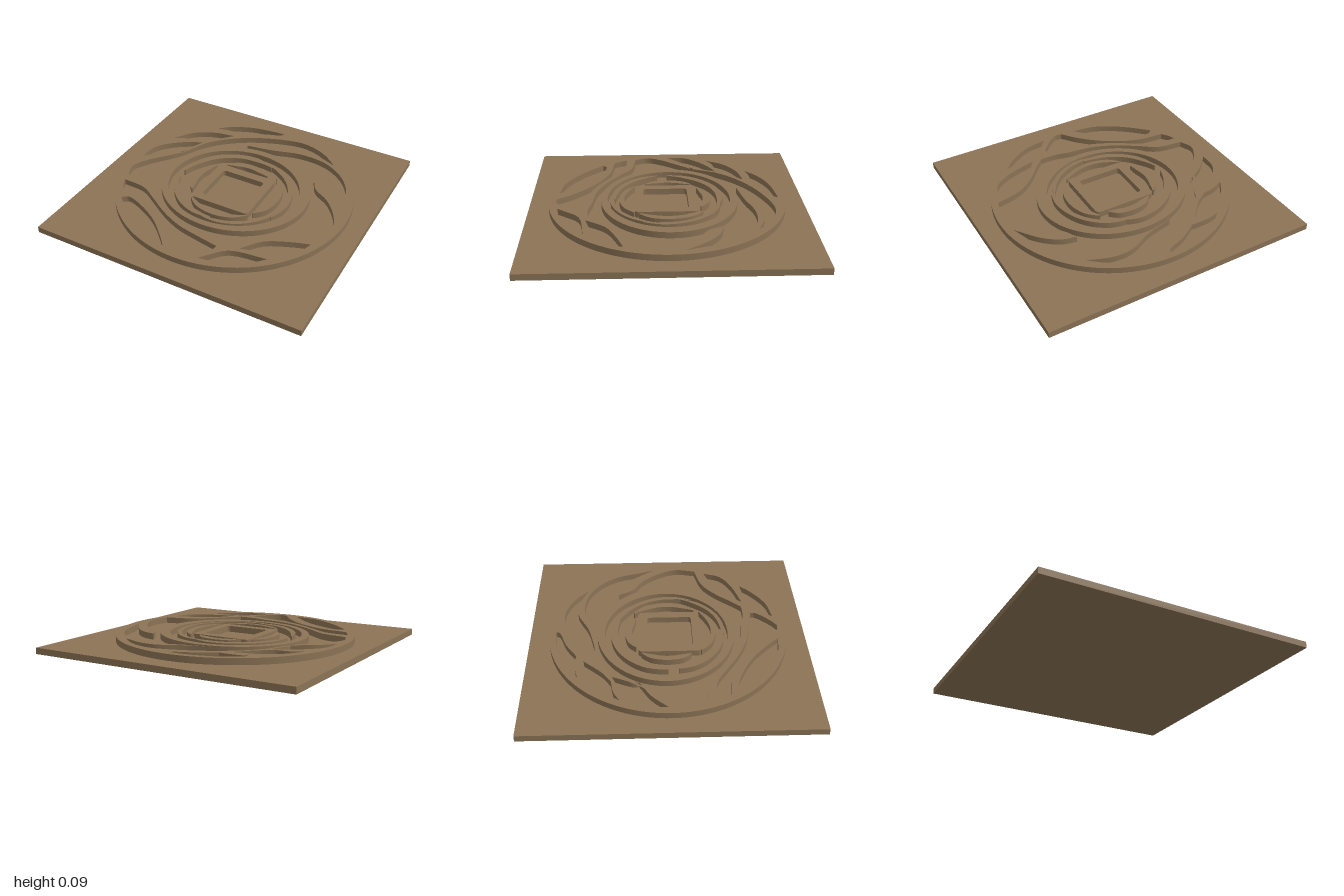
import * as THREE from 'three';
import { toCreasedNormals } from 'three/addons/utils/BufferGeometryUtils.js';

const BASE = 0.045, TOP = 0.09;

// Closed outline from smooth runs that meet at sharp corners; points are [x, z]
function outline(runs) {
  const pts = [];
  runs.forEach((run, i) => {
    const next = runs[(i + 1) % runs.length][0];
    const ctrl = [...run, next].map(([x, z]) => new THREE.Vector3(x, z, 0));
    const curve = new THREE.CatmullRomCurve3(ctrl, false, 'centripetal');
    const n = ctrl.length === 2 ? 1 : (ctrl.length - 1) * 4;
    for (let k = 0; k < n; k++) {
      const p = curve.getPoint(k / n);
      pts.push(new THREE.Vector2(p.x, p.y));
    }
  });
  return pts;
}

function ellipse(rx, rz, cx = 0, cz = 0) {
  return new THREE.Path().absellipse(cx, cz, rx, rz, 0, Math.PI * 2).getPoints(72);
}

function roundedRect(x0, x1, z0, z1, r) {
  const pts = [];
  [[x1 - r, z1 - r], [x0 + r, z1 - r], [x0 + r, z0 + r], [x1 - r, z0 + r]].forEach(([x, z], i) => {
    for (let k = 0; k <= 4; k++) {
      const a = (i + k / 4) * Math.PI / 2;
      pts.push(new THREE.Vector2(x + r * Math.cos(a), z + r * Math.sin(a)));
    }
  });
  return pts;
}

// Curved band with tapering ends; angles in degrees from +x towards +z
function band(a0, a1, r0, r1, width, cz = 0.005) {
  const outer = [], inner = [], n = Math.ceil((a1 - a0) / 5);
  for (let i = 0; i <= n; i++) {
    const t = i / n, a = (a0 + (a1 - a0) * t) * Math.PI / 180;
    const r = r0 + (r1 - r0) * t;
    const w = width * (0.2 + 0.8 * Math.min(1, 5 * t, 5 * (1 - t))) / 2;
    outer.push(new THREE.Vector2((r + w) * Math.cos(a), cz + (r + w) * Math.sin(a)));
    inner.unshift(new THREE.Vector2((r - w) * Math.cos(a), cz + (r - w) * Math.sin(a)));
  }
  return [...outer, ...inner];
}

export function createModel() {
  const group = new THREE.Group();
  const wood = new THREE.MeshStandardMaterial({ color: 0x8b7355 });
  wood.name = 'brown wood';

  const add = (name, geometry) => {
    const mesh = new THREE.Mesh(geometry, wood);
    mesh.name = name;
    group.add(mesh);
  };
  const relief = (name, points, holes = []) => {
    const shape = new THREE.Shape(points);
    shape.holes = holes.map((h) => new THREE.Path(h));
    const geo = new THREE.ExtrudeGeometry(shape, { depth: TOP - BASE, bevelEnabled: false });
    geo.rotateX(Math.PI / 2).translate(0, TOP, 0);
    add(name, toCreasedNormals(geo, 0.5));
  };

  // Square base plate
  add('basePlate', new THREE.BoxGeometry(2, BASE, 2).translate(0, BASE / 2, 0));

  // Open channel around the centre, bounded by the pointed arms
  const channel = outline([
    [[0.53, -0.6], [0.36, -0.66], [0.22, -0.66], [0.03, -0.575]],
    [[-0.17, -0.525], [0.03, -0.56], [0.25, -0.615], [0.46, -0.595], [0.62, -0.5], [0.72, -0.37], [0.77, -0.21]],
    [[0.81, -0.09], [0.68, -0.26], [0.57, -0.34]],
    [[0.47, -0.365], [0.53, -0.26], [0.65, -0.18], [0.75, -0.06], [0.81, 0.085]],
    [[0.785, 0.235], [0.59, 0.285], [0.46, 0.38], [0.35, 0.5]],
    [[0.285, 0.565], [0.17, 0.565]],
    [[0.06, 0.54], [-0.13, 0.515], [-0.29, 0.45], [-0.45, 0.35], [-0.58, 0.26]],
    [[-0.77, 0.23], [-0.805, 0.13], [-0.74, 0], [-0.6, -0.18], [-0.48, -0.39],
      [-0.34, -0.54], [-0.13, -0.67], [0.165, -0.76], [0.3, -0.745], [0.42, -0.69]],
  ]);

  // Crescent cut-outs between the rim and the arms
  const cutouts = [
    [[[0.01, -0.81], [-0.1, -0.8], [-0.25, -0.775], [-0.4, -0.71]], [[-0.5, -0.63], [-0.4, -0.65]],
      [[-0.27, -0.65], [-0.14, -0.73], [0, -0.785]]],
    [[[-0.33, -0.595], [-0.5, -0.56], [-0.64, -0.475]], [[-0.735, -0.34], [-0.66, -0.38]],
      [[-0.55, -0.4], [-0.46, -0.46]]],
    [[[-0.5, -0.395], [-0.6, -0.35], [-0.73, -0.25], [-0.8, -0.15]], [[-0.81, -0.02], [-0.7, -0.13]],
      [[-0.56, -0.21], [-0.565, -0.24]]],
    [[[-0.755, 0.3], [-0.58, 0.315], [-0.45, 0.39], [-0.29, 0.49], [-0.13, 0.56], [0.03, 0.595]],
      [[0.205, 0.625], [0.2, 0.66], [0.05, 0.8]], [[-0.005, 0.8], [-0.1, 0.68], [-0.26, 0.54], [-0.48, 0.43]],
      [[-0.7, 0.4], [-0.735, 0.35]]],
    [[[-0.655, 0.49], [-0.61, 0.46], [-0.48, 0.5], [-0.32, 0.59], [-0.18, 0.715]],
      [[-0.11, 0.79], [-0.29, 0.76], [-0.48, 0.65]]],
    [[[0.155, 0.785], [0.2, 0.73], [0.3, 0.625]], [[0.56, 0.58], [0.49, 0.65], [0.33, 0.75]]],
    [[[0.75, 0.31], [0.7, 0.43], [0.57, 0.51]], [[0.35, 0.575], [0.46, 0.435], [0.62, 0.355]]],
  ].map(outline);
  relief('outerRosette', ellipse(0.868, 0.855), [...cutouts, channel]);

  // Complete ring inside the channel
  relief('innerRing', ellipse(0.555, 0.495, 0, -0.015), [ellipse(0.487, 0.445, -0.012, -0.012)]);

  // Broken carved rings: start angle, end angle, start radius, end radius, width
  [
    [-78, 25, 0.39, 0.425, 0.035],
    [15, 100, 0.41, 0.39, 0.03],
    [88, 172, 0.375, 0.43, 0.04],
    [182, 290, 0.43, 0.38, 0.05],
  ].forEach((b) => relief('outerBrokenRing', band(...b)));
  [
    [-48, 38, 0.335, 0.32, 0.05],
    [45, 135, 0.33, 0.32, 0.035],
    [150, 218, 0.305, 0.315, 0.045],
    [232, 302, 0.295, 0.285, 0.05],
  ].forEach((b) => relief('innerBrokenRing', band(...b)));

  // Square frame at the centre
  relief('centreFrame', roundedRect(-0.235, 0.23, -0.215, 0.235, 0.03),
    [roundedRect(-0.17, 0.165, -0.15, 0.175, 0.02)]);

  return group;
}
